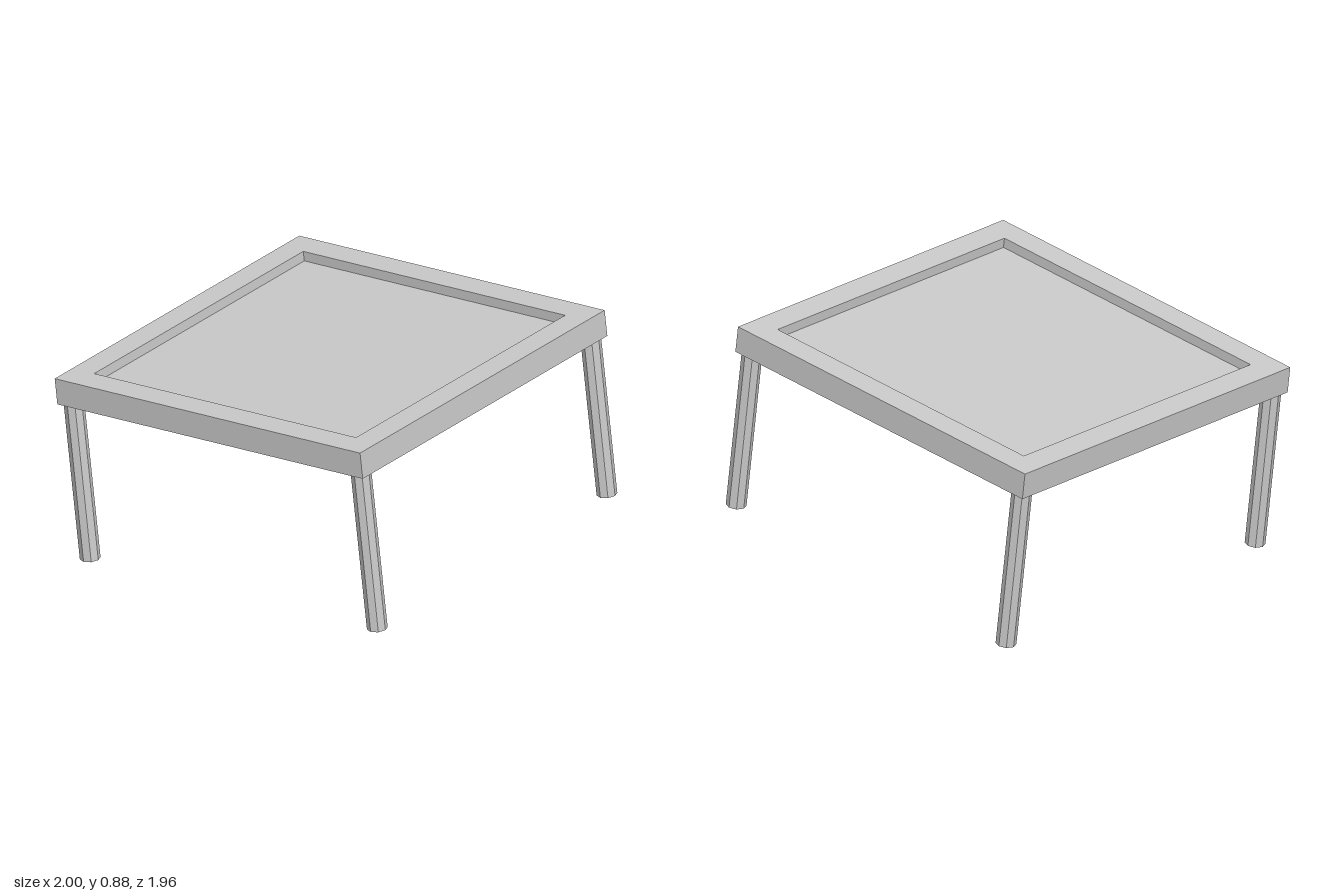
import * as THREE from 'three';

export function createModel() {
  const root = new THREE.Group();
  root.name = 'table';
  const material = new THREE.MeshStandardMaterial({ color: 0xcccccc, flatShading: true });

  const width = 1.403, depth = 1.377, thickness = 0.1, border = 0.1;
  const legRadius = 0.037, legInset = 0.042, legBottom = -0.707;

  // the whole table is turned and slightly tilted; local origin is the top centre
  const table = new THREE.Group();
  table.name = 'tiltedTable';
  root.add(table);
  const up = new THREE.Vector3(-0.094, 0.995, -0.028).normalize();
  const along = new THREE.Vector3(0.754, 0.089, 0.656);
  along.addScaledVector(up, -along.dot(up)).normalize();
  const across = new THREE.Vector3().crossVectors(along, up);
  table.quaternion.setFromRotationMatrix(new THREE.Matrix4().makeBasis(along, up, across));
  table.position.set(-0.022, 0.795, -0.004);

  const add = (name, geometry) => {
    const mesh = new THREE.Mesh(geometry, material);
    mesh.name = name;
    table.add(mesh);
    return mesh;
  };
  const rectangle = (PathType, w, d) => new PathType([
    [-w, -d], [w, -d], [w, d], [-w, d],
  ].map(([x, y]) => new THREE.Vector2(x / 2, y / 2)));

  // rim around the top
  const innerWidth = width - 2 * border, innerDepth = depth - 2 * border;
  const rim = rectangle(THREE.Shape, width, depth);
  rim.holes.push(rectangle(THREE.Path, innerWidth, innerDepth));
  const rimGeometry = new THREE.ExtrudeGeometry(rim, { depth: thickness, bevelEnabled: false });
  rimGeometry.rotateX(-Math.PI / 2).translate(0, -thickness, 0);
  add('topFrame', rimGeometry);

  // panel recessed from both above and below
  add('topPanel', new THREE.BoxGeometry(innerWidth, 0.026, innerDepth))
    .position.y = -thickness / 2;

  // four faceted legs, one under each corner
  const legLength = -legBottom - thickness;
  const legGeometry = new THREE.CylinderGeometry(legRadius, legRadius, legLength, 8);
  for (const sx of [-1, 1]) {
    for (const sz of [-1, 1]) {
      add('leg', legGeometry).position.set(
        sx * (width / 2 - legInset), legBottom + legLength / 2, sz * (depth / 2 - legInset));
    }
  }
  return root;
}
